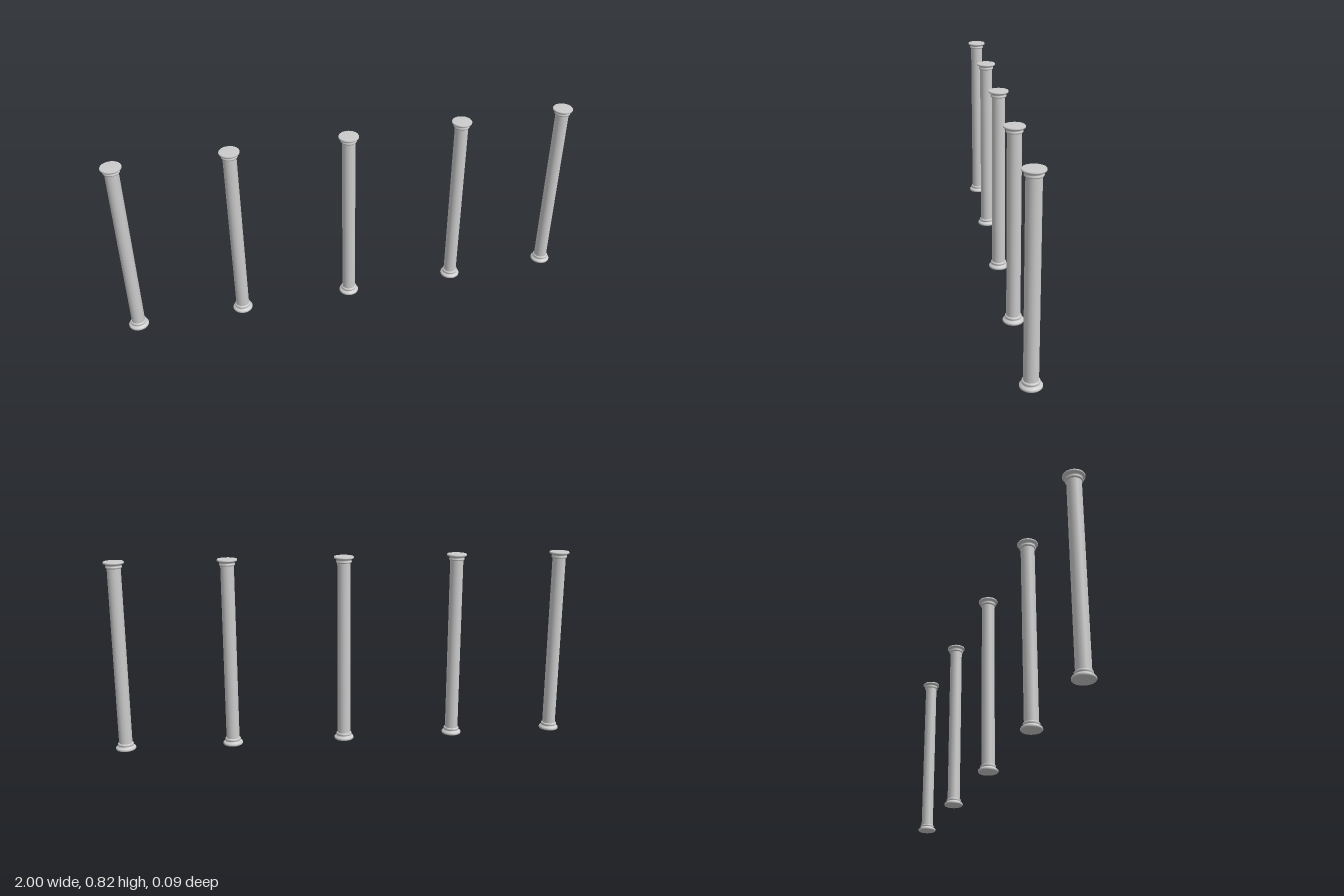
import * as THREE from 'three';

const HEIGHT = 0.823;
const SEGMENTS = 32;
const material = new THREE.MeshStandardMaterial({ color: 0xcccccc });

// Turned part from [radius, y] pairs listed bottom to top
function turned(name, profile) {
  const points = profile.map(([r, y]) => new THREE.Vector2(r, y));
  const mesh = new THREE.Mesh(new THREE.LatheGeometry(points, SEGMENTS), material);
  mesh.name = name;
  return mesh;
}

// Base: rounded foot, cove, then a small ring under the shaft
const baseProfile = [
  [0, 0], [0.041, 0], [0.043, 0.003], [0.043, 0.008], [0.041, 0.011],
  [0.035, 0.014], [0.032, 0.017], [0.032, 0.019],
  [0.034, 0.022], [0.034, 0.026], [0.032, 0.029], [0.0285, 0.03],
];

// Capital: small ring, neck, then a flare to a thin rounded top slab
const capitalProfile = [
  [0.0285, 0.795], [0.032, 0.796], [0.034, 0.799], [0.034, 0.802], [0.032, 0.805],
  [0.032, 0.808], [0.034, 0.811], [0.038, 0.813], [0.042, 0.815],
  [0.043, 0.817], [0.043, 0.820], [0.041, HEIGHT], [0, HEIGHT],
];

function createColumn(x) {
  const column = new THREE.Group();
  column.name = 'column';
  column.add(
    turned('base', baseProfile),
    turned('shaft', [[0.0285, 0.03], [0.0285, 0.795]]),
    turned('capital', capitalProfile),
  );
  column.position.x = x;
  return column;
}

export function createModel() {
  const model = new THREE.Group();
  model.name = 'columnRow';
  // The outer bays are slightly narrower than the inner ones
  for (const x of [-0.957, -0.494, 0, 0.494, 0.957]) model.add(createColumn(x));
  return model;
}
